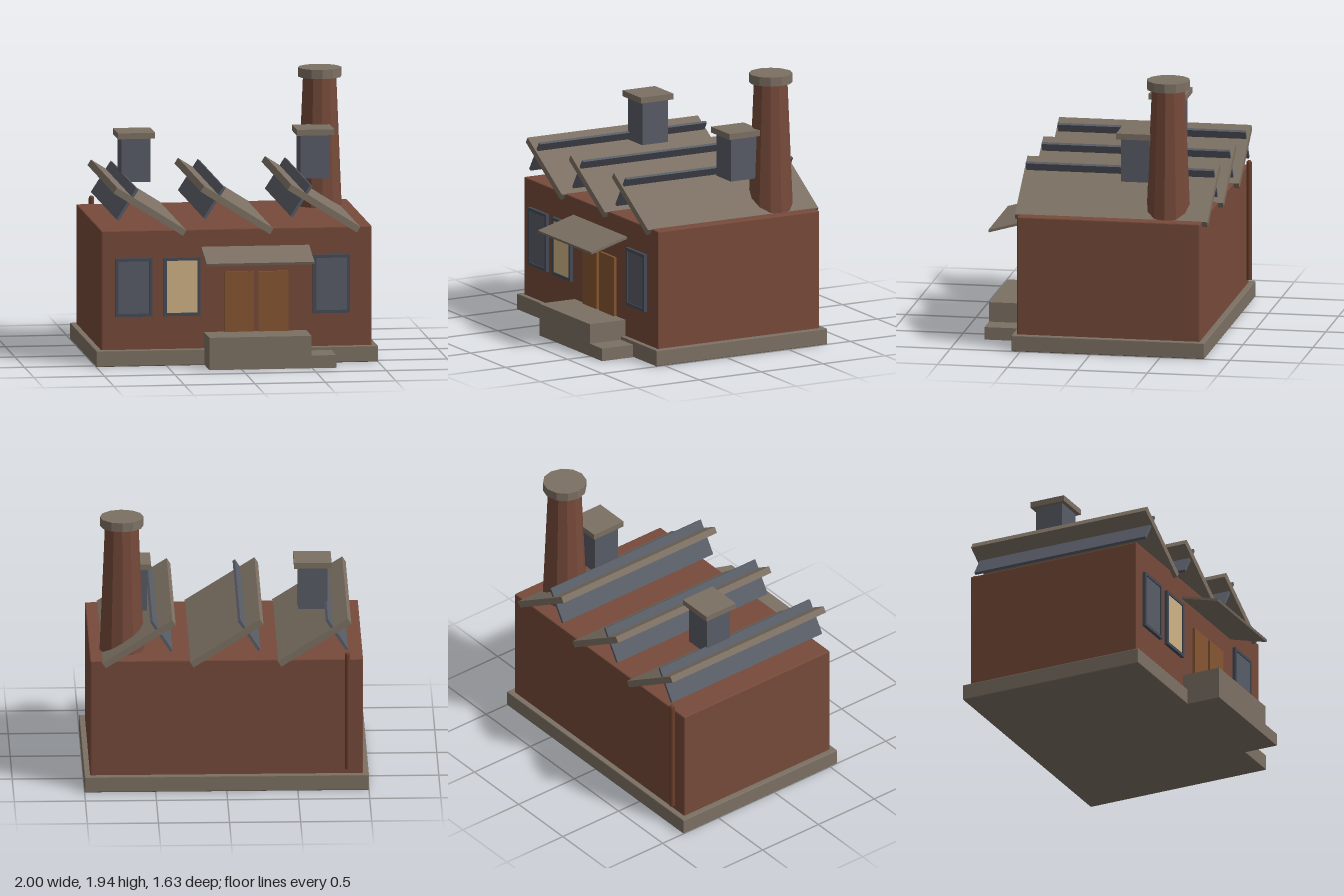
import * as THREE from 'three';
import { RoundedBoxGeometry } from 'three/addons/geometries/RoundedBoxGeometry.js';

const mat = (name, color, flatShading = false) => {
  const m = new THREE.MeshStandardMaterial({ color, flatShading });
  m.name = name;
  return m;
};

export function createModel() {
  const model = new THREE.Group();
  model.name = 'factory';
  const brick = mat('brick', 0x764a3a, true);
  const concrete = mat('concrete', 0x7c7063, true);
  const slate = mat('slate', 0x585c66, true);
  const frameMat = mat('frame', 0x444b57, true);
  const wood = mat('wood', 0x855530, true);
  const glow = mat('lit glass', 0xcfb284, true);
  const rust = mat('rusty pipe', 0x6b3f2c);

  const add = (name, geometry, material, x, y, z, parent = model) => {
    const mesh = new THREE.Mesh(geometry, material);
    mesh.name = name;
    mesh.position.set(x, y, z);
    parent.add(mesh);
    return mesh;
  };
  // Box given by its lower and upper corners
  const block = (name, material, a, b, parent = model, bevel = 0) => {
    const size = a.map((v, i) => b[i] - v);
    const geometry = bevel ? new RoundedBoxGeometry(...size, 1, bevel) : new THREE.BoxGeometry(...size);
    return add(name, geometry, material, ...a.map((v, i) => (v + b[i]) / 2), parent);
  };

  // Foundation, walls and entrance steps
  block('foundation', concrete, [-1, 0, -0.815], [1, 0.115, 0.565], model, 0.006);
  block('walls', brick, [-0.96, 0.1, -0.775], [0.96, 0.962, 0.53], model, 0.008);
  block('entrancePlatform', concrete, [-0.23, 0, 0.5], [0.495, 0.23, 0.815]);
  block('sideStep', concrete, [0.49, 0, 0.54], [0.67, 0.09, 0.815]);

  // Sawtooth roof: sloping slabs, each crossed by a glazed strip
  for (const x of [-0.617, 0, 0.617]) {
    const tooth = new THREE.Group();
    tooth.name = 'roofTooth';
    tooth.position.x = x;
    model.add(tooth);
    const slab = add('roofSlab', new THREE.BoxGeometry(0.583, 0.047, 1.375), concrete, 0, 1.096, -0.126, tooth);
    slab.rotation.z = -0.565;
    const glass = add('skylight', new THREE.BoxGeometry(0.26, 0.02, 1.345), slate, -0.158, 1.148, -0.126, tooth);
    glass.rotation.z = 1.0;
  }

  // Roof vents with overhanging caps
  for (const x of [-0.617, 0.653]) {
    const vent = new THREE.Group();
    vent.name = 'roofVent';
    vent.position.set(x, 0, -0.278);
    model.add(vent);
    block('ventBox', slate, [-0.103, 1.2, -0.103], [0.103, 1.51, 0.103], vent);
    block('ventCap', concrete, [-0.132, 1.51, -0.132], [0.132, 1.552, 0.132], vent);
  }

  // Chimney
  add('chimneyStack', new THREE.CylinderGeometry(0.118, 0.157, 0.94, 12), brick, 0.73, 1.42, -0.51);
  add('chimneyCap', new THREE.CylinderGeometry(0.154, 0.154, 0.065, 12), concrete, 0.73, 1.91, -0.51);

  // Windows: four frame bars around a recessed pane
  for (const [x, pane] of [[-0.73, slate], [-0.388, glow], [0.672, slate]]) {
    const win = new THREE.Group();
    win.name = 'window';
    win.position.set(x, 0.558, 0.53);
    model.add(win);
    for (const s of [-1, 1]) {
      add('frameSide', new THREE.BoxGeometry(0.022, 0.415, 0.026), frameMat, s * 0.12, 0, 0.011, win);
      add('frameRail', new THREE.BoxGeometry(0.22, 0.022, 0.026), frameMat, 0, s * 0.1965, 0.011, win);
    }
    add('pane', new THREE.BoxGeometry(0.222, 0.375, 0.009), pane, 0, 0, 0.012, win);
  }

  // Double door
  block('rightDoor', wood, [-0.085, 0.23, 0.52], [0.12, 0.655, 0.55]);
  block('leftDoor', wood, [0.155, 0.23, 0.52], [0.365, 0.655, 0.55]);

  // Awning sloping down from the wall
  const awning = add('awning', new THREE.BoxGeometry(0.765, 0.018, 0.305), concrete, 0.133, 0.788, 0.668);
  awning.rotation.x = 0.272;

  // Downpipe on the back wall with a rounded top
  add('downpipe', new THREE.CylinderGeometry(0.019, 0.019, 0.845, 10), rust, -0.85, 0.578, -0.797);
  add('downpipeTop', new THREE.SphereGeometry(0.019, 10, 6), rust, -0.85, 1.0, -0.797);

  return model;
}
